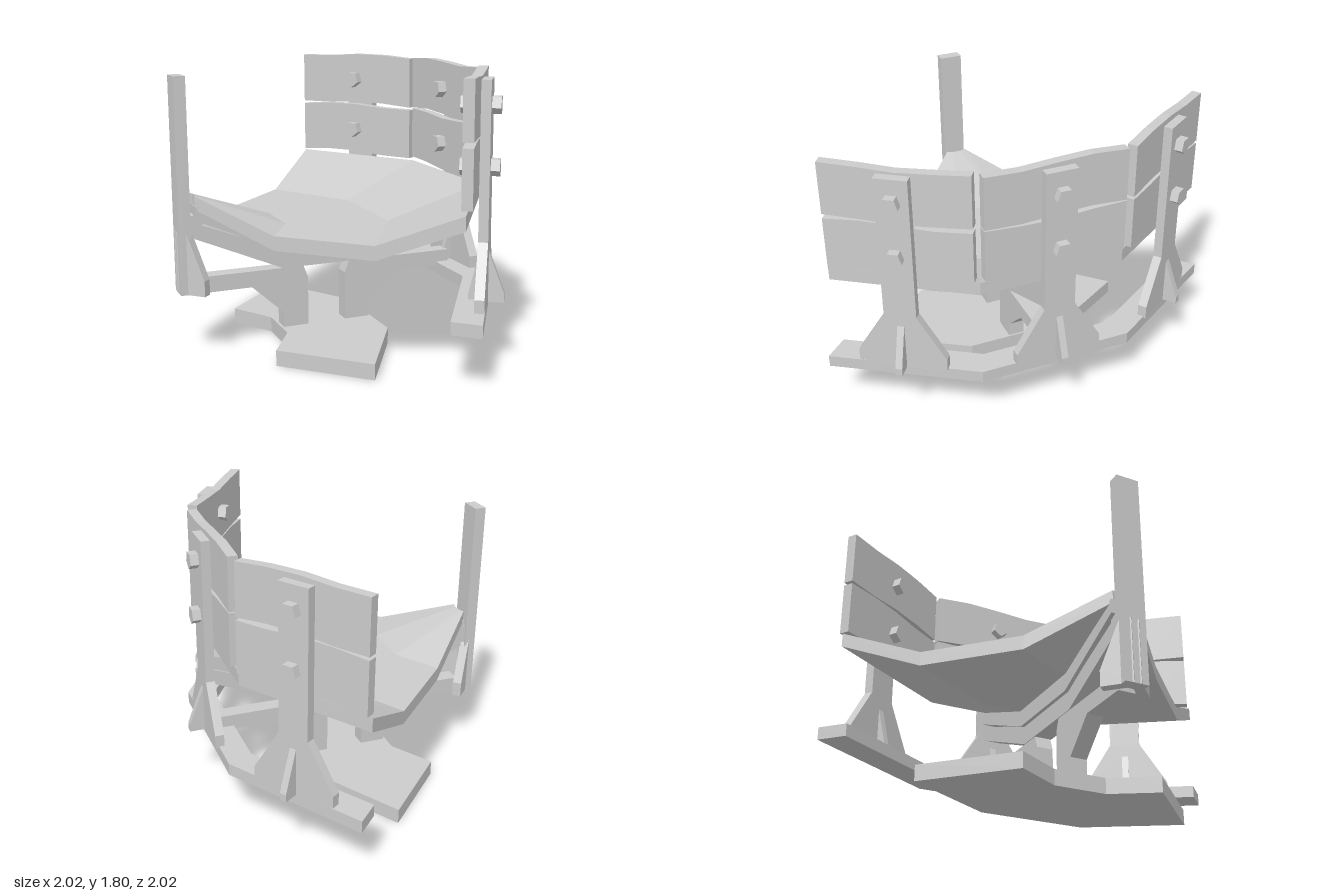
import * as THREE from 'three';

const material = new THREE.MeshStandardMaterial({ color: 0xcccccc, flatShading: true });

function add(parent, name, geometry, x = 0, y = 0, z = 0) {
  const mesh = new THREE.Mesh(geometry, material);
  mesh.name = name;
  mesh.position.set(x, y, z);
  parent.add(mesh);
  return mesh;
}

// Side profile extruded and centred on its thickness
function plate(points, thickness) {
  const shape = new THREE.Shape(points.map(p => new THREE.Vector2(p[0], p[1])));
  return new THREE.ExtrudeGeometry(shape, { depth: thickness, bevelEnabled: false })
    .translate(0, 0, -thickness / 2);
}

// Four plan points [x, z], mirrored across the diagonal from the first two
const arc = (a, b) => [a, b, [-b[1], -b[0]], [-a[1], -a[0]]];

// Solid quarter-ring built from rings { plan, top, bottom }, outermost first
function sector(rings) {
  const pos = [];
  const quad = (a, b, c, d) => pos.push(...a, ...b, ...c, ...a, ...c, ...d);
  const T = (i, j) => [rings[i].plan[j][0], rings[i].top, rings[i].plan[j][1]];
  const B = (i, j) => [rings[i].plan[j][0], rings[i].bottom, rings[i].plan[j][1]];
  const n = rings.length - 1;
  for (let j = 0; j < 3; j++) {
    for (let i = 0; i < n; i++) {
      quad(T(i, j), T(i, j + 1), T(i + 1, j + 1), T(i + 1, j));
      quad(B(i, j), B(i + 1, j), B(i + 1, j + 1), B(i, j + 1));
    }
    quad(T(0, j), B(0, j), B(0, j + 1), T(0, j + 1));
    quad(T(n, j), T(n, j + 1), B(n, j + 1), B(n, j));
  }
  for (let i = 0; i < n; i++) {
    quad(T(i, 0), T(i + 1, 0), B(i + 1, 0), B(i, 0));
    quad(T(i, 3), B(i, 3), B(i + 1, 3), T(i + 1, 3));
  }
  const g = new THREE.BufferGeometry();
  g.setAttribute('position', new THREE.Float32BufferAttribute(pos, 3));
  g.computeVertexNormals();
  return g;
}

// Plank with gently uneven long edges
function plank(length, height, thickness, phase) {
  const g = new THREE.BoxGeometry(length, height, thickness, 4, 1, 1);
  const p = g.attributes.position;
  for (let i = 0; i < p.count; i++) {
    const k = Math.round((p.getX(i) / length + 0.5) * 4);
    p.setY(i, p.getY(i) + 0.012 * Math.sin(k * 1.6 + phase));
  }
  g.computeVertexNormals();
  return g;
}

// Wall side: local +z points outward, origin on the inner face
function wallSide(x, z, nx, nz, length, phase) {
  const side = new THREE.Group();
  side.name = 'wallSide';
  side.position.set(x, 0, z);
  side.rotation.y = Math.atan2(nx, nz);
  const bolt = new THREE.CylinderGeometry(0.058, 0.058, 0.06, 5).rotateX(Math.PI / 2);
  [1.24, 1.61].forEach((y, row) => {
    add(side, 'plank', plank(length, 0.35, 0.065, phase + row * 1.3), 0, y, 0.035);
    add(side, 'innerBolt', bolt, 0, y, -0.025);
    add(side, 'outerBolt', bolt, 0, y, 0.155);
  });
  // Upright with flared foot and gussets
  const half = [[0.105, 1.76], [0.105, 0.8], [0.29, 0.5], [0.29, 0.41]];
  const outline = [...half, ...half.map(p => [-p[0], p[1]]).reverse()].reverse();
  add(side, 'upright', plate(outline, 0.06), 0, 0, 0.1);
  const gusset = plate([[-0.09, 0.41], [0.13, 0.41], [0.13, 0.46], [0.02, 0.75], [-0.02, 0.75], [-0.09, 0.46]], 0.045)
    .rotateY(-Math.PI / 2);
  add(side, 'gusset', gusset, 0, 0, 0.1);
  return side;
}

export function createModel() {
  const model = new THREE.Group();

  // Plan outlines shared by the dish, base and ring
  const rim = arc([0.89, 0.94], [0.70, -0.01]);
  const middle = arc([0.35, 0.94], [0.19, 0.30]);
  const inner = arc([-0.30, 0.94], [-0.38, 0.62]);
  const hub = arc([-0.84, 0.94], [-0.86, 0.90]);

  add(model, 'basePlate', sector([
    { plan: middle, top: 0.1, bottom: 0 },
    { plan: inner, top: 0.1, bottom: 0 }]));
  add(model, 'supportRing', sector([
    { plan: arc([1.0, 0.94], [0.78, -0.05]), top: 0.42, bottom: 0.34 },
    { plan: arc([0.81, 0.94], [0.61, 0.02]), top: 0.42, bottom: 0.34 }]));
  add(model, 'dish', sector([
    { plan: rim, top: 1.04, bottom: 0.95 },
    { plan: middle, top: 0.82, bottom: 0.73 },
    { plan: inner, top: 0.82, bottom: 0.73 },
    { plan: hub, top: 1.02, bottom: 0.94 }]));

  // Parts along the diagonal from the hub post to the middle wall
  const diagonal = new THREE.Group();
  diagonal.name = 'diagonalFrame';
  diagonal.rotation.y = Math.PI / 4;
  model.add(diagonal);

  const rib = (low, high, width) => plate([
    [-1.26, low + 0.25], [-0.69, low], [-0.085, low], [0.55, low + 0.26],
    [0.55, high + 0.23], [-0.085, high], [-0.69, high], [-1.26, high + 0.22]], width);
  add(diagonal, 'upperRib', rib(0.62, 0.74, 0.17), 0, 0, 0);
  add(diagonal, 'lowerRib', rib(0.5, 0.63, 0.12), 0, 0, 0);

  // Two bracketed legs carrying the cross beam, with a gap between
  const legs = [[-1, 0.86], [1, 0.9]];
  for (const [side, reach] of legs) {
    const c = -0.39;
    const points = [[0.13, 0.09], [0.3, 0.09], [0.3, 0.2], [0.51, 0.395],
      [reach, 0.395], [reach, 0.5], [0.16, 0.5], [0.13, 0.42]];
    const outline = points.map(p => [c + side * p[0], p[1]]);
    add(diagonal, 'legAndBeam', plate(side > 0 ? outline : outline.reverse(), 0.11));
  }

  // Hub post with its bracket
  add(diagonal, 'hubPost', new THREE.BoxGeometry(0.075, 1.36, 0.15), -1.325, 1.08, 0);
  add(diagonal, 'hubBracket', new THREE.BoxGeometry(0.09, 0.12, 0.12), -1.255, 0.84, 0);

  // Flared wings at the foot of the hub post
  const wing = () => plate([[-0.95, 0.4], [-0.76, 0.4], [-0.76, 0.5], [-0.88, 0.8], [-0.95, 0.8]], 0.06);
  add(model, 'hubFootWing', wing(), 0, 0, 0.955);
  const wing2 = add(model, 'hubFootWing', wing(), -0.955, 0, 0);
  wing2.rotation.y = Math.PI / 2;

  // Wall of three sides
  model.add(wallSide(0.77, 0.475, 0.983, -0.185, 0.93, 0));
  model.add(wallSide(0.34, -0.34, 1, -1, 0.94, 2));
  model.add(wallSide(-0.475, -0.77, 0.185, -0.983, 0.93, 4));

  return model;
}
